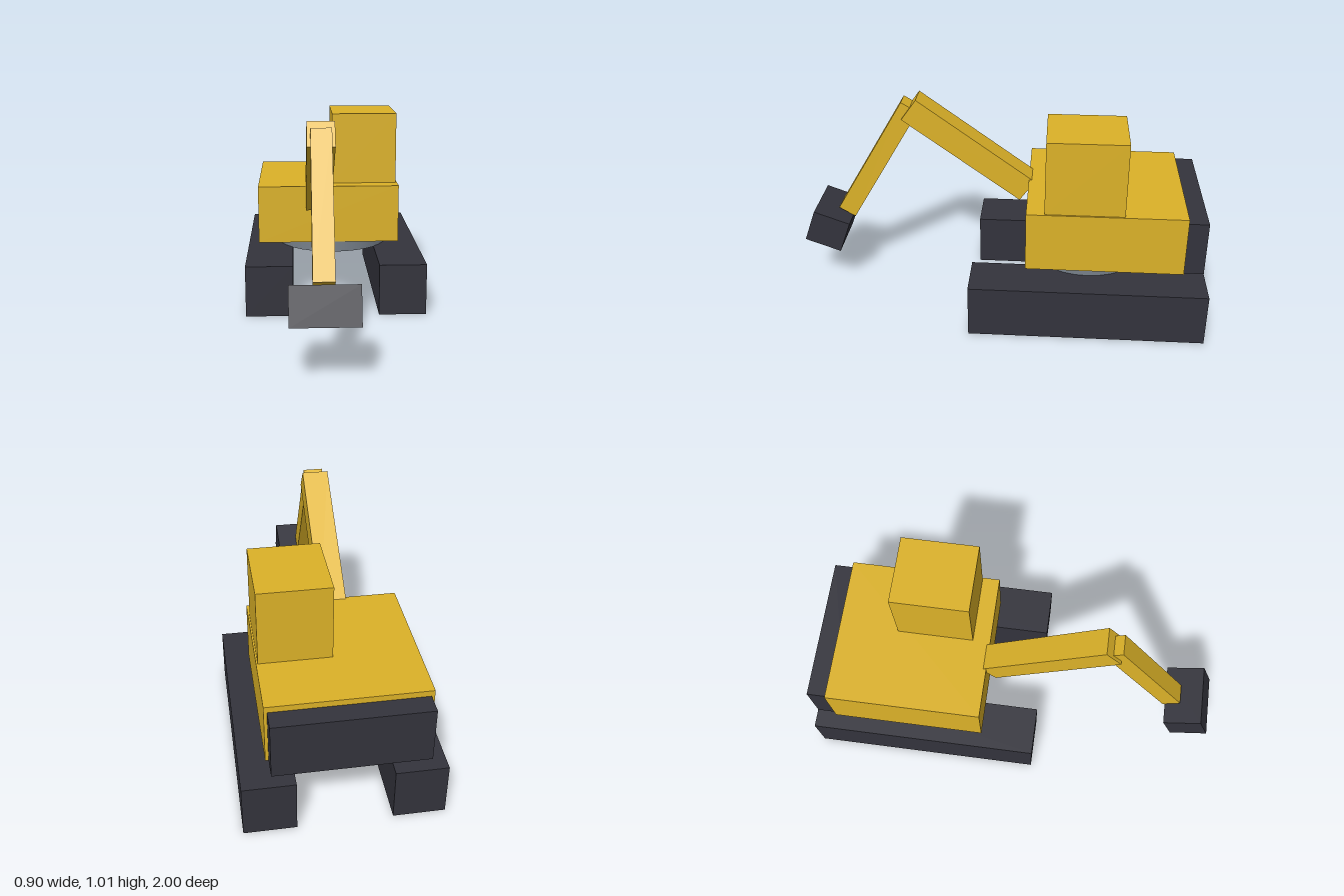
import * as THREE from 'three';

const mat = (name, color) => {
  const m = new THREE.MeshStandardMaterial({ color });
  m.name = name;
  return m;
};

export function createModel() {
  const yellow = mat('yellow paint', 0xdcb228);
  const dark = mat('dark rubber', 0x33333c);
  const steel = mat('grey steel', 0x77808a);

  const model = new THREE.Group();
  model.name = 'excavator';

  // Box by size and centre, pitched about x in degrees (positive lifts the front)
  const box = (name, material, size, centre, pitch = 0) => {
    const mesh = new THREE.Mesh(new THREE.BoxGeometry(...size), material);
    mesh.name = name;
    mesh.position.set(...centre);
    mesh.rotation.x = -THREE.MathUtils.degToRad(pitch);
    model.add(mesh);
  };

  // Undercarriage
  for (const [name, side] of [['leftTrack', 1], ['rightTrack', -1]]) {
    box(name, dark, [0.236, 0.257, 1.125], [side * 0.332, 0.1285, -0.4375]);
  }
  const turntable = new THREE.Mesh(new THREE.CylinderGeometry(0.295, 0.295, 0.06, 32), steel);
  turntable.name = 'turntable';
  turntable.position.set(0, 0.285, -0.437);
  model.add(turntable);

  // Upper body
  box('body', yellow, [0.724, 0.295, 0.75], [-0.028, 0.456, -0.515]);
  box('cab', yellow, [0.332, 0.364, 0.373], [0.16, 0.784, -0.412]);
  box('counterweight', dark, [0.695, 0.268, 0.185], [-0.028, 0.441, -0.893]);

  // Digging arm
  box('boom', yellow, [0.127, 0.128, 0.715], [-0.083, 0.75, 0.158], 35.8);
  box('stick', yellow, [0.095, 0.094, 0.686], [-0.083, 0.672, 0.62], -59.3);
  box('bucket', dark, [0.295, 0.171, 0.188], [-0.083, 0.312, 0.882], 20);

  return model;
}
